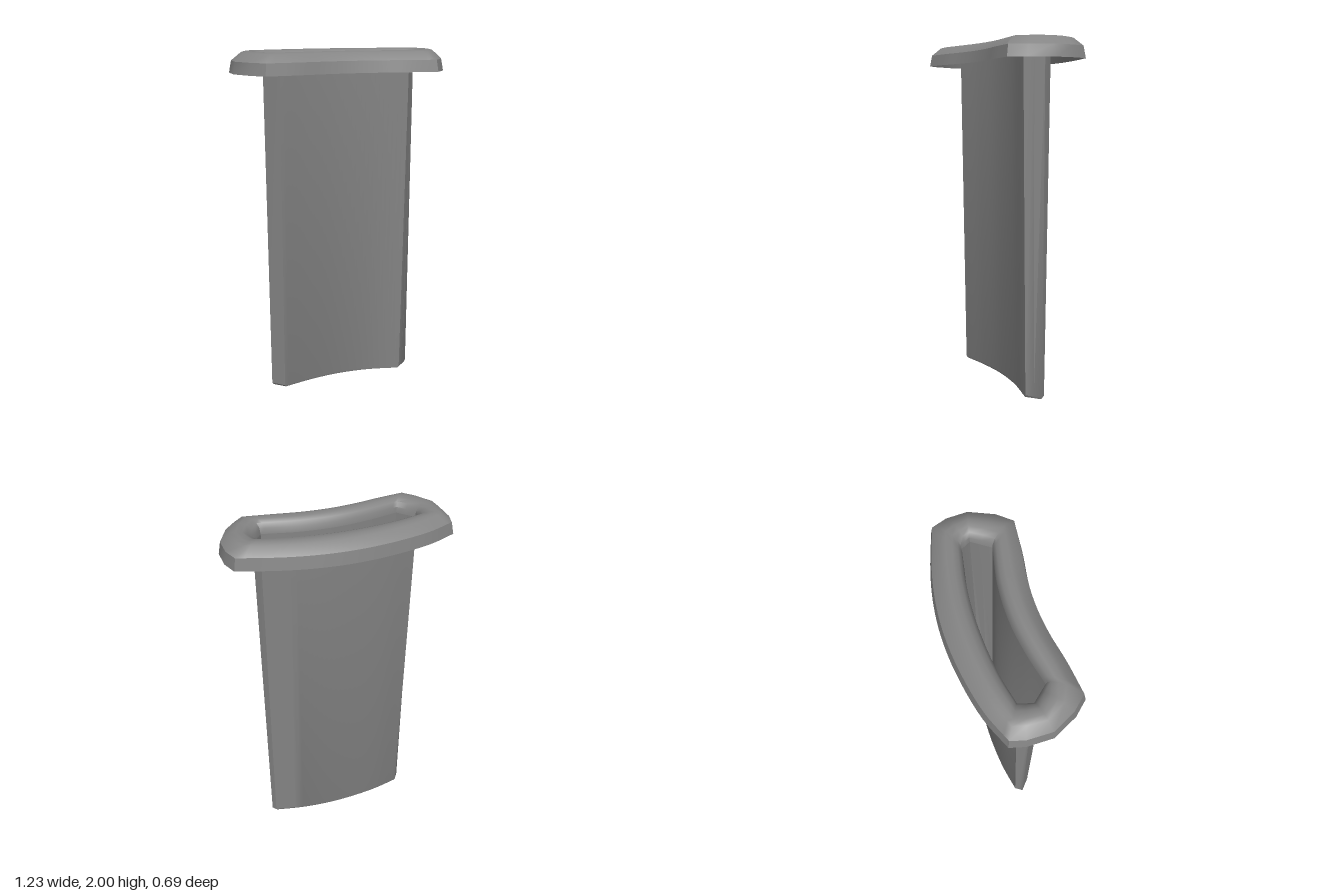
import * as THREE from 'three';
import { toCreasedNormals } from 'three/addons/utils/BufferGeometryUtils.js';

// Plan outlines as [x, z]: straight-sided ends joined by curved long sides.
const SLEEVE = {
  left: [[-0.415, -0.07], [-0.44, -0.12], [-0.42, -0.1515]],
  back: [[-0.4, -0.183], [-0.24, -0.174], [-0.07, -0.147], [0.1, -0.105], [0.26, -0.047], [0.42, 0.03]],
  right: [[0.4265, 0.0575], [0.433, 0.085], [0.389, 0.1225]],
  front: [[0.345, 0.16], [0.16, 0.07], [-0.03, 0.012], [-0.21, -0.013], [-0.39, -0.02]],
};
const RIM = {
  left: [[-0.585, 0.02], [-0.615, -0.12], [-0.58, -0.25]],
  back: [[-0.54, -0.32], [-0.36, -0.345], [-0.1, -0.33], [0.1, -0.29], [0.27, -0.23], [0.42, -0.155], [0.605, -0.04]],
  right: [[0.612, 0.05], [0.585, 0.165], [0.495, 0.28]],
  front: [[0.41, 0.34], [0.25, 0.28], [0.1, 0.215], [-0.05, 0.168], [-0.2, 0.142], [-0.36, 0.13], [-0.54, 0.105]],
};
const STEPS = 30;

// Samples a long side smoothly; taper is the direction in which it narrows.
function side(points, taper) {
  const curve = new THREE.CatmullRomCurve3(points.map(([x, z]) => new THREE.Vector3(x, 0, z)));
  return curve.getPoints(STEPS).map((p) => ({ x: p.x, z: p.z, taper }));
}

// End points share the taper of the sides they join, so the facets stay flat.
function end(points, tapers) {
  return points.map(([x, z], i) => ({ x, z, taper: tapers[i] }));
}

function outline({ left, back, right, front }) {
  return [
    ...end(left, [-0.5, 0, 0.5]), ...side(back, 1),
    ...end(right, [0.5, 0, -0.5]), ...side(front, -1),
  ];
}

// Skins a stack of closed cross-sections.
function skin(rows, crease) {
  const n = rows[0].length;
  const index = [];
  for (let j = 0; j < rows.length - 1; j++) {
    for (let i = 0; i < n; i++) {
      const a = j * n + i, b = j * n + (i + 1) % n;
      index.push(a, a + n, b, b, a + n, b + n);
    }
  }
  const geometry = new THREE.BufferGeometry();
  geometry.setAttribute('position', new THREE.Float32BufferAttribute(rows.flat(2), 3));
  geometry.setIndex(index);
  return toCreasedNormals(geometry, crease);
}

export function createModel() {
  const group = new THREE.Group();
  const material = new THREE.MeshStandardMaterial({ color: 0x848484, side: THREE.DoubleSide });
  const add = (name, geometry) => {
    const mesh = new THREE.Mesh(geometry, material);
    mesh.name = name;
    group.add(mesh);
  };

  const inner = outline(SLEEVE);
  const outer = outline(RIM);

  // Hollow sleeve, thinning towards a slightly chamfered foot
  const section = (y, narrowing, width) =>
    inner.map((p) => [p.x * width, y, p.z + p.taper * narrowing]);
  const foot = section(0, 0.032, 0.98);
  add('sleeve', skin([foot, section(0.012, 0.028, 1), section(1.93, 0, 1)], 0.45));

  // Floor closing the foot
  const floor = new THREE.ShapeGeometry(new THREE.Shape(foot.map(([x, , z]) => new THREE.Vector2(x, z))));
  floor.rotateX(Math.PI / 2);
  add('sleeveFloor', floor);

  // Open-bottomed collar; profile is [0 = sleeve to 1 = outer rim, height]
  const collar = (profile) => profile.map(([t, y]) => inner.map((p, i) => [
    THREE.MathUtils.lerp(p.x, outer[i].x, t), y, THREE.MathUtils.lerp(p.z, outer[i].z, t),
  ]));
  add('collarRim', skin(collar([[1, 1.885], [0.93, 1.95]]), 0.6));
  add('collarTop', skin(collar([
    [0.93, 1.95], [0.64, 1.993], [0.48, 2], [0.28, 1.998], [0.12, 1.985], [0.03, 1.96], [0, 1.93],
  ]), 0.95));

  return group;
}
